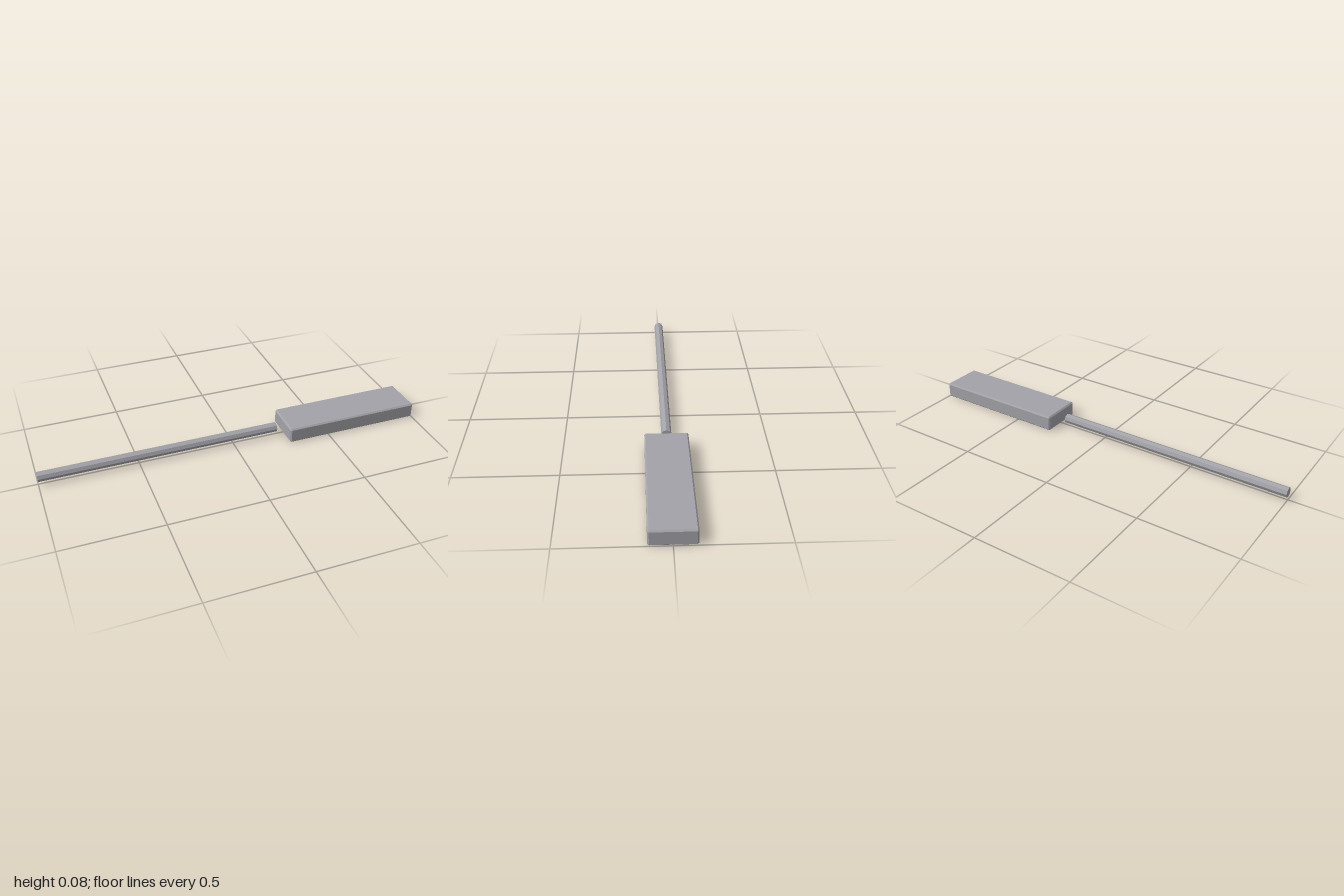
import * as THREE from 'three';
import { ConvexGeometry } from 'three/addons/geometries/ConvexGeometry.js';

// Box with every edge cut at 45 degrees
function chamferedBox(w, h, d, c) {
  const points = [];
  for (const sx of [-1, 1]) for (const sy of [-1, 1]) for (const sz of [-1, 1]) {
    const x = w / 2, y = h / 2, z = d / 2;
    points.push(
      new THREE.Vector3(sx * x, sy * (y - c), sz * (z - c)),
      new THREE.Vector3(sx * (x - c), sy * y, sz * (z - c)),
      new THREE.Vector3(sx * (x - c), sy * (y - c), sz * z),
    );
  }
  return new ConvexGeometry(points);
}

export function createModel() {
  const group = new THREE.Group();
  const metal = new THREE.MeshStandardMaterial({ color: 0xa3a2a8, flatShading: true });
  metal.name = 'grey metal';

  // Rectangular block, standing on the ground
  const head = new THREE.Mesh(chamferedBox(0.72, 0.08, 0.213, 0.007), metal);
  head.name = 'block';
  head.position.set(0.64, 0.04, 0);
  group.add(head);

  // Slim rod, separated from the block by a small gap
  const rod = new THREE.Mesh(new THREE.CylinderGeometry(0.025, 0.025, 1.24, 8), metal);
  rod.name = 'rod';
  rod.rotation.z = Math.PI / 2;
  rod.position.set(-0.38, 0.042, -0.002);
  group.add(rod);

  return group;
}
